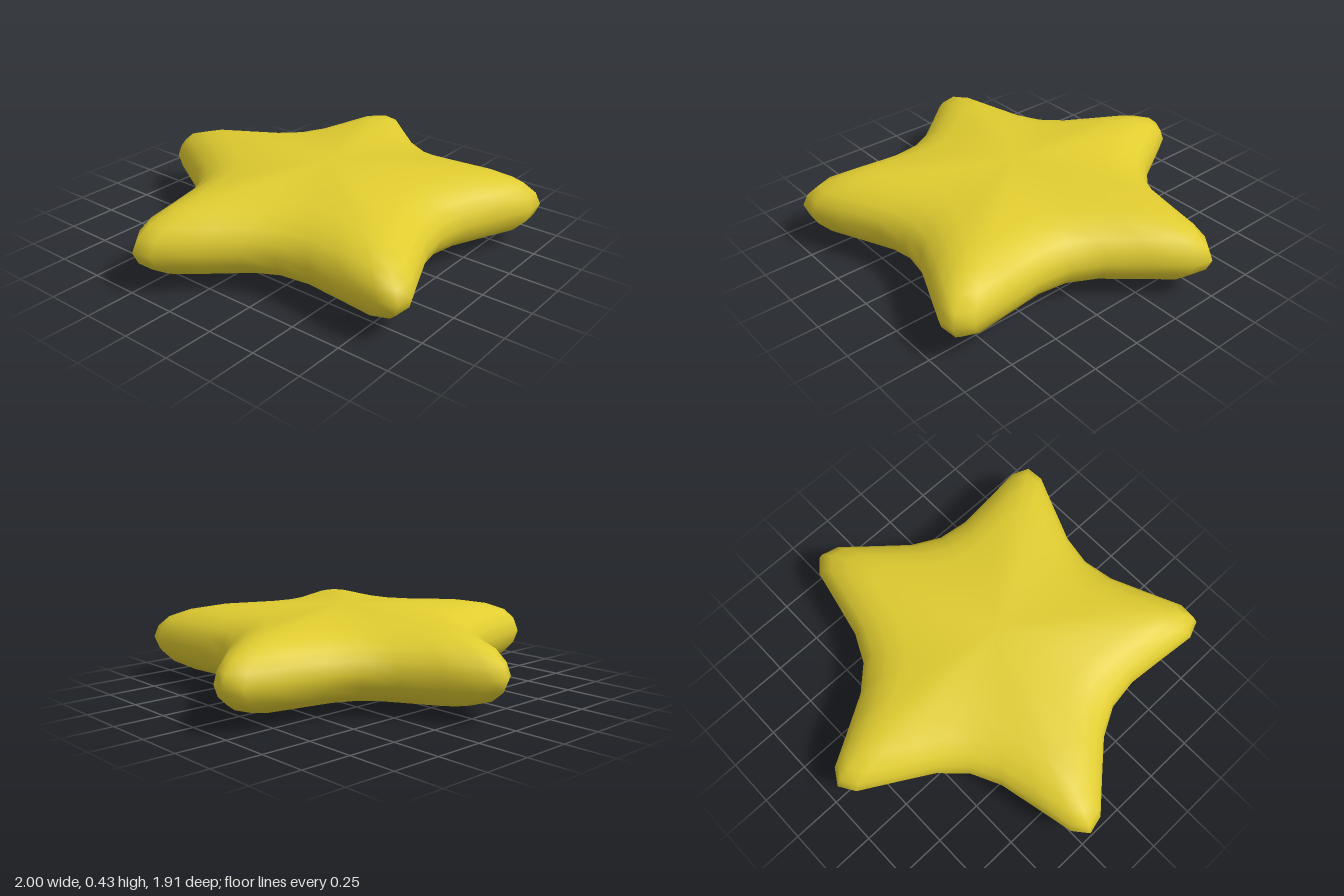
import * as THREE from 'three';

const CENTRE_Y = 0.22;
const CENTRE_Z = 0.1;

// Half an arm outline, tip to valley: [degrees from the tip, radius]
const halfArm = [[0, 1.05], [4.6, 1.003], [12.2, 0.849], [23, 0.717], [36, 0.67]];

// Pillow section, rim to middle: [outline scale, height above the mid plane]
const section = [[1, 0], [0.975, 0.06], [0.915, 0.112], [0.8, 0.155], [0.66, 0.181], [0.35, 0.203], [0, 0.215]];

// Full star outline: every half arm mirrored, five times round
function starOutline() {
  const arm = [...halfArm, ...halfArm.slice(1, -1).reverse().map(([a, r]) => [72 - a, r])];
  const points = [];
  for (let i = 0; i < 5; i++) {
    for (const [deg, r] of arm) {
      const a = THREE.MathUtils.degToRad(deg + i * 72);
      points.push([Math.sin(a) * r, -Math.cos(a) * r]);
    }
  }
  return points;
}

// Rings of the scaled outline from the top pole, over the rim, to the bottom pole
function pillowGeometry(outline) {
  const rings = [...section].reverse().concat(section.slice(1).map(([s, h]) => [s, -h]));
  const n = outline.length;
  const last = rings.length - 1;
  const positions = [];
  rings.forEach(([s, h], r) => {
    const pole = r === 0 || r === last;
    for (const [x, z] of pole ? [[0, 0]] : outline) {
      positions.push(x * s, CENTRE_Y + h, CENTRE_Z + z * s);
    }
  });
  const id = (r, j) => (r === 0 ? 0 : 1 + (r - 1) * n + (r === last ? 0 : j % n));
  const index = [];
  for (let r = 0; r < last; r++) {
    for (let j = 0; j < n; j++) {
      const a = id(r, j), b = id(r, j + 1), c = id(r + 1, j), d = id(r + 1, j + 1);
      if (r > 0) index.push(a, b, c);
      if (r < last - 1) index.push(b, d, c);
    }
  }
  const geometry = new THREE.BufferGeometry();
  geometry.setAttribute('position', new THREE.Float32BufferAttribute(positions, 3));
  geometry.setIndex(index);
  geometry.computeVertexNormals();
  return geometry;
}

export function createModel() {
  const yellow = new THREE.MeshStandardMaterial({ color: 0xe0cc30 });
  yellow.name = 'star yellow';

  const star = new THREE.Mesh(pillowGeometry(starOutline()), yellow);
  star.name = 'starBody';

  const model = new THREE.Group();
  model.name = 'star';
  model.add(star);
  return model;
}
